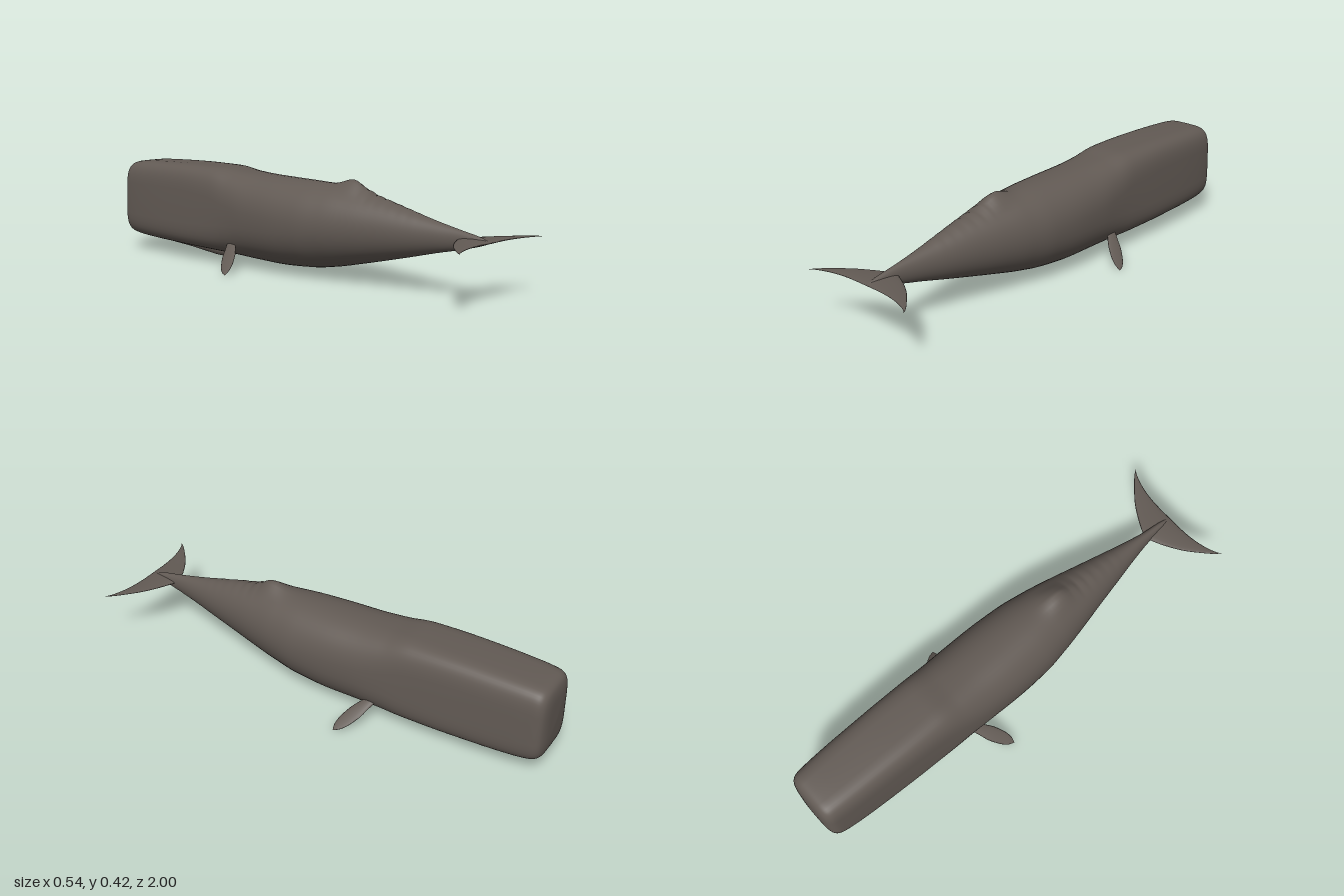
import * as THREE from 'three';
import { mergeVertices } from 'three/addons/utils/BufferGeometryUtils.js';

const skin = new THREE.MeshStandardMaterial({ color: 0x625a54 });
skin.name = 'greyBrownSkin';

// Closed skin over rings that run counter-clockwise about their direction of travel
function loft(name, rings) {
  const n = rings[0].length, pos = [], idx = [];
  rings.forEach(r => r.forEach(p => pos.push(p.x, p.y, p.z)));
  for (let i = 0; i < rings.length - 1; i++) {
    for (let j = 0; j < n; j++) {
      const k = (j + 1) % n, a = i * n + j, b = i * n + k;
      idx.push(a, b, b + n, a, b + n, a + n);
    }
  }
  let geo = new THREE.BufferGeometry();
  geo.setAttribute('position', new THREE.Float32BufferAttribute(pos, 3));
  geo.setIndex(idx);
  geo = mergeVertices(geo, 1e-5);
  geo.computeVertexNormals();
  const mesh = new THREE.Mesh(geo, skin);
  mesh.name = name;
  return mesh;
}

// Smooth, overshoot-free interpolation through a table of stations
function refine(rows, steps) {
  const slope = (i, c) => {
    if (i === 0 || i === rows.length - 1) return 0;
    const a = rows[i][c] - rows[i - 1][c], b = rows[i + 1][c] - rows[i][c];
    return a * b > 0 ? 2 * a * b / (a + b) : 0;
  };
  const out = [];
  for (let i = 0; i < rows.length - 1; i++) {
    for (let s = 0; s < steps; s++) {
      const t = s / steps, t2 = t * t, t3 = t2 * t;
      out.push(rows[i].map((v, c) => (2 * t3 - 3 * t2 + 1) * v + (t3 - 2 * t2 + t) * slope(i, c)
        + (3 * t2 - 2 * t3) * rows[i + 1][c] + (t3 - t2) * slope(i + 1, c)));
    }
  }
  out.push(rows[rows.length - 1]);
  return out;
}

// Superellipse ring: z, half width, bottom, top, squareness, narrowing toward the top
function bodyRing([z, w, lo, hi, e, taper], count) {
  return Array.from({ length: count }, (_, j) => {
    const a = j / count * Math.PI * 2, c = Math.cos(a), s = Math.sin(a);
    const u = Math.abs(c) < 1e-9 ? 0 : Math.sign(c) * Math.abs(c) ** (2 / e);
    const v = Math.abs(s) < 1e-9 ? 0 : Math.sign(s) * Math.abs(s) ** (2 / e);
    return new THREE.Vector3(u * w * (1 - taper * v), (lo + hi) / 2 + v * (hi - lo) / 2, z);
  });
}

// Dorsal hump followed by a row of small knuckles
function ridgeHeight(z) {
  const hump = z < 0.3 ? Math.exp(-(((z - 0.3) / 0.07) ** 2)) : Math.exp(-(((z - 0.3) / 0.055) ** 2));
  const knuckles = z > 0.36 && z < 0.64
    ? Math.max(0, Math.sin((z - 0.36) / 0.047 * Math.PI * 2)) * (0.7 - z) / 0.34 : 0;
  return 0.037 * hump + 0.008 * knuckles;
}

// Lens-shaped blade section: centre, normal axis, chord axis, half thickness, half chord
function bladeRing(centre, normal, chord, thick, half) {
  return Array.from({ length: 16 }, (_, j) => {
    const a = j / 16 * Math.PI * 2;
    return centre.clone().addScaledVector(normal, Math.cos(a) * thick)
      .addScaledVector(chord, Math.sin(a) * half);
  });
}

export function createModel() {
  const whale = new THREE.Group();
  whale.name = 'whale';

  // Body with block-shaped head, from the snout (-z) to the tail stock (+z)
  const stations = [
    [-1.0, 0, 0.24, 0.24, 4.5, 0.03],
    [-0.996, 0.07, 0.14, 0.34, 4.5, 0.03],
    [-0.985, 0.108, 0.097, 0.384, 4.5, 0.03],
    [-0.96, 0.126, 0.078, 0.402, 4.5, 0.03],
    [-0.91, 0.133, 0.07, 0.409, 4.5, 0.04],
    [-0.8, 0.14, 0.064, 0.414, 4.5, 0.05],
    [-0.6, 0.147, 0.058, 0.418, 4.4, 0.06],
    [-0.42, 0.153, 0.052, 0.417, 3.8, 0.06],
    [-0.3, 0.16, 0.044, 0.405, 2.9, 0.04],
    [-0.18, 0.168, 0.035, 0.398, 2.4, 0.01],
    [-0.04, 0.171, 0.031, 0.394, 2.25, 0],
    [0.1, 0.166, 0.037, 0.391, 2.1, 0],
    [0.22, 0.149, 0.054, 0.385, 2, 0],
    [0.34, 0.124, 0.08, 0.367, 2, 0],
    [0.46, 0.096, 0.108, 0.343, 2, 0],
    [0.58, 0.069, 0.137, 0.315, 2, 0],
    [0.7, 0.042, 0.167, 0.288, 2, 0],
    [0.8, 0.023, 0.19, 0.268, 2, 0],
    [0.9, 0.012, 0.216, 0.248, 2, 0],
    [0.945, 0, 0.233, 0.233, 2, 0],
  ];
  const bodyRings = refine(stations, 8).map(s => {
    const ring = bodyRing(s, 48), mid = (s[2] + s[3]) / 2;
    ring.forEach(p => {
      if (p.y > mid) p.y += ridgeHeight(p.z) * Math.max(0, 1 - Math.abs(p.x) / 0.07);
    });
    return ring;
  });
  whale.add(loft('body', bodyRings));

  // Slim lower jaw
  const jaw = [
    [-0.9, 0, 0.068, 0.068, 2.4, 0],
    [-0.88, 0.012, 0.053, 0.08, 2.4, 0],
    [-0.84, 0.016, 0.046, 0.085, 2.4, 0],
    [-0.65, 0.021, 0.032, 0.085, 2.4, 0],
    [-0.48, 0.028, 0.016, 0.085, 2.4, 0],
    [-0.43, 0.028, 0.015, 0.085, 2.4, 0],
    [-0.39, 0.022, 0.032, 0.08, 2.4, 0],
    [-0.36, 0, 0.065, 0.065, 2.4, 0],
  ];
  whale.add(loft('lowerJaw', refine(jaw, 4).map(s => bodyRing(s, 20))));

  // Tail fluke: x, leading z, trailing z, half thickness
  const half = refine([
    [0, 0.8, 0.945, 0.009],
    [0.05, 0.822, 0.945, 0.007],
    [0.1, 0.849, 0.947, 0.005],
    [0.15, 0.882, 0.953, 0.004],
    [0.2, 0.925, 0.965, 0.003],
    [0.25, 0.974, 0.985, 0.0015],
    [0.268, 0.999, 0.999, 0],
  ], 3);
  const mirrored = half.slice(1).reverse().map(([x, ...rest]) => [-x, ...rest]);
  const yAxis = new THREE.Vector3(0, 1, 0), zAxis = new THREE.Vector3(0, 0, 1);
  whale.add(loft('tailFluke', [...mirrored, ...half].map(([x, lead, trail, t]) =>
    bladeRing(new THREE.Vector3(x, 0.233, (lead + trail) / 2), yAxis, zAxis, t, (trail - lead) / 2))));

  // Paddle flippers, swept down and back
  const root = new THREE.Vector3(0.13, 0.112, -0.272), tip = new THREE.Vector3(0.268, 0.003, -0.17);
  const along = tip.clone().sub(root).normalize();
  const normal = new THREE.Vector3(0.62, 0.785, 0).normalize();
  const chord = along.clone().cross(normal).normalize();
  const paddle = refine([
    [0, 0.02, 0.008], [0.2, 0.025, 0.007], [0.45, 0.031, 0.006],
    [0.7, 0.028, 0.004], [0.9, 0.016, 0.002], [1, 0, 0],
  ], 4).map(([t, w, thick]) => bladeRing(root.clone().lerp(tip, t), normal, chord, thick, w));
  whale.add(loft('leftFlipper', paddle));
  whale.add(loft('rightFlipper', paddle.map(r =>
    r.map(p => new THREE.Vector3(-p.x, p.y, p.z)).reverse())));

  return whale;
}
